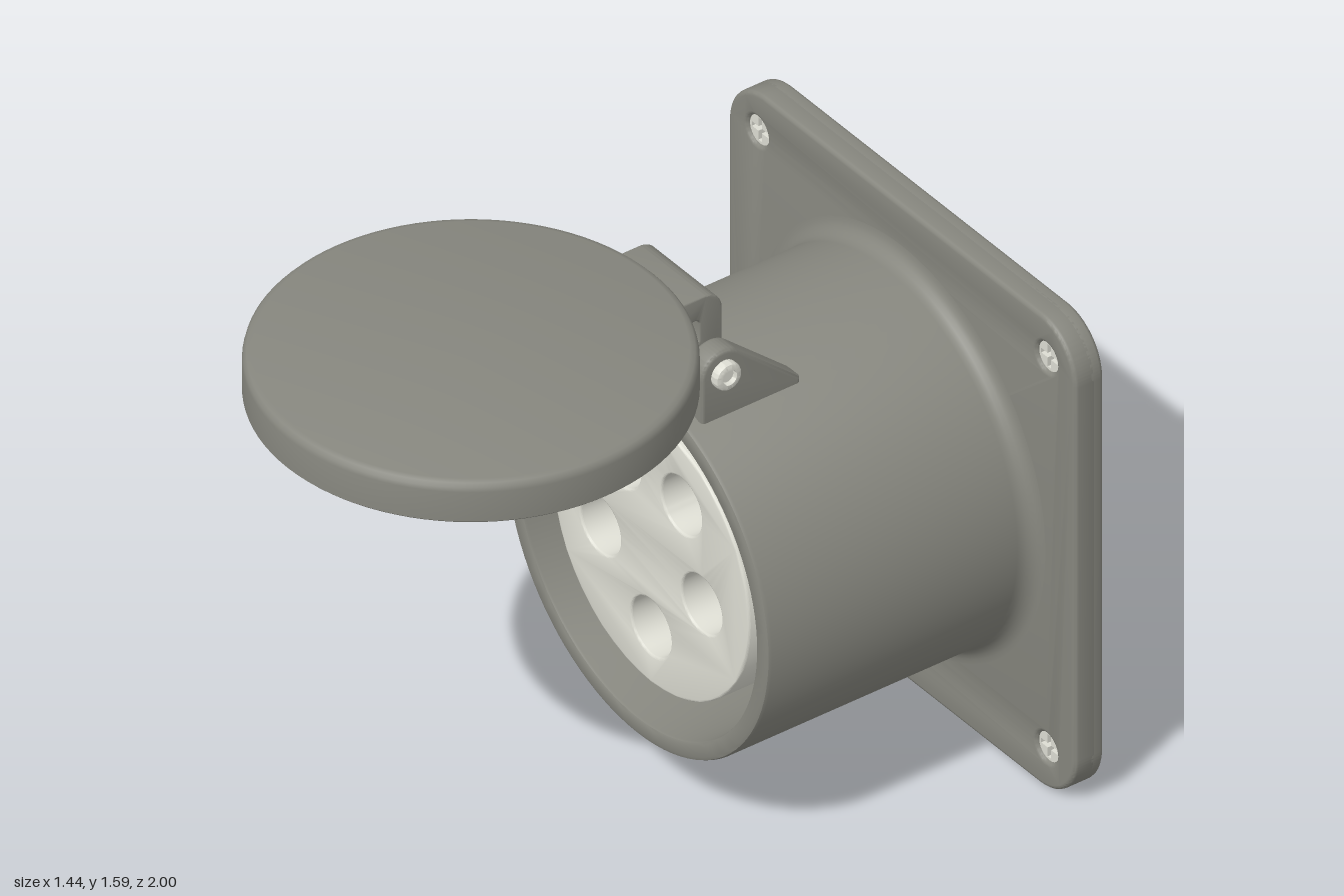
import * as THREE from 'three';
import { toCreasedNormals } from 'three/addons/utils/BufferGeometryUtils.js';

const grey = new THREE.MeshStandardMaterial({ color: 0x86867e });
const ivory = new THREE.MeshStandardMaterial({ color: 0xdcdcd2 });
const AXIS_Y = 0.725;              // height of the barrel axis
const PIVOT = { y: 1.36, z: -0.2 }; // hinge axis

function part(parent, name, geometry, material) {
  const mesh = new THREE.Mesh(toCreasedNormals(geometry, 0.6), material);
  mesh.name = name;
  parent.add(mesh);
  return mesh;
}

// Extrusion from z = 0 to z = depth whose rounded edges stay inside the outline
function slab(shape, depth, bevel = 0) {
  const g = new THREE.ExtrudeGeometry(shape, {
    depth: depth - 2 * bevel, curveSegments: 24, bevelEnabled: bevel > 0,
    bevelThickness: bevel, bevelSize: bevel, bevelOffset: -bevel, bevelSegments: 3,
  });
  return g.translate(0, 0, bevel);
}

// Side profile drawn as (-z, y), extruded along x from x0 to x1
function sideSlab(shape, x0, x1, bevel) {
  return slab(shape, x1 - x0, bevel).rotateY(Math.PI / 2).translate(x0, 0, 0);
}

const circle = (x, y, r, Type = THREE.Path) => new Type().absarc(x, y, r, 0, Math.PI * 2, false);
const lathe = (pts) => new THREE.LatheGeometry(pts.map(([r, h]) => new THREE.Vector2(r, h)), 96);

function roundedPlate(w, y0, y1, r) {
  const s = new THREE.Shape();
  s.absarc(w - r, y0 + r, r, -Math.PI / 2, 0);
  s.absarc(w - r, y1 - r, r, 0, Math.PI / 2);
  s.absarc(-w + r, y1 - r, r, Math.PI / 2, Math.PI);
  s.absarc(-w + r, y0 + r, r, Math.PI, Math.PI * 1.5);
  s.closePath();
  return s;
}

function crossPath(a, b) {
  return new THREE.Path([
    [a, b], [b, b], [b, a], [-b, a], [-b, b], [-a, b],
    [-a, -b], [-b, -b], [-b, -a], [b, -a], [b, -b], [a, -b],
  ].map(([x, y]) => new THREE.Vector2(x, y)));
}

function addPlate(model) {
  const screws = [[-0.6, 0.125], [0.6, 0.125], [-0.6, 1.325], [0.6, 1.325]];
  part(model, 'plateBack', slab(roundedPlate(0.72, 0, 1.445, 0.15), 0.05, 0.012), grey).position.z = -1;
  const front = roundedPlate(0.72, 0, 1.445, 0.15);
  screws.forEach(([x, y]) => front.holes.push(circle(x, y, 0.042)));
  part(model, 'plateFront', slab(front, 0.07, 0.012), grey).position.z = -0.98;

  // Cross-slotted screws sitting in the plate holes
  for (const [x, y] of screws) {
    const screw = new THREE.Group();
    screw.name = 'screw';
    screw.position.set(x, y, -0.95);
    const head = circle(0, 0, 0.042, THREE.Shape);
    head.holes.push(crossPath(0.034, 0.007));
    part(screw, 'screwHead', slab(head, 0.03), ivory);
    part(screw, 'slotFloor', slab(circle(0, 0, 0.04, THREE.Shape), 0.01), ivory);
    model.add(screw);
  }
}

function addBarrel(model) {
  // Outer wall with a fillet at the plate, rounded rim and inner wall
  const profile = [];
  for (let i = 0; i <= 6; i++) {
    const a = (i / 6) * Math.PI / 2;
    profile.push([0.597 - 0.05 * Math.sin(a), -0.86 - 0.05 * Math.cos(a)]);
  }
  profile.push([0.547, -0.097], [0.5435, -0.0885], [0.535, -0.085],
    [0.503, -0.085], [0.497, -0.088], [0.495, -0.094], [0.495, -0.68]);
  part(model, 'barrel', lathe(profile).rotateX(Math.PI / 2), grey).position.y = AXIS_Y;

  // Contact insert: floor disc and a plug with five sockets
  const floor = new THREE.CylinderGeometry(0.495, 0.495, 0.05, 96).rotateX(Math.PI / 2);
  part(model, 'insertFloor', floor, ivory).position.set(0, AXIS_Y, -0.675);
  const plug = circle(0, 0, 0.407, THREE.Shape);
  for (const [x, y] of [[-0.126, 0.21], [0.126, 0.21], [-0.21, -0.045], [0.21, -0.045], [0, -0.237]]) {
    plug.holes.push(circle(x, y, 0.083));
  }
  part(model, 'socketPlug', slab(plug, 0.53, 0.006), ivory).position.set(0, AXIS_Y, -0.66);
}

function addHinge(model) {
  // Pair of brackets with sloping backs
  const p = -PIVOT.z;
  const bracket = new THREE.Shape();
  bracket.moveTo(0.13, 1.2);
  bracket.lineTo(0.13, PIVOT.y);
  bracket.absarc(p, PIVOT.y, 0.07, Math.PI, 0.85, true);
  bracket.lineTo(0.44, 1.245);
  bracket.lineTo(0.44, 1.2);
  bracket.closePath();

  // Pin head with a small dimple, built along +x
  const pin = () => lathe([[0.04, 0.19], [0.04, 0.225], [0.037, 0.232], [0.031, 0.235],
    [0.022, 0.235], [0.02, 0.222], [0, 0.222]]).rotateZ(-Math.PI / 2);

  for (const side of [-1, 1]) {
    const x0 = side > 0 ? 0.143 : -0.21;
    part(model, 'hingeBracket', sideSlab(bracket, x0, x0 + 0.067, 0.012), grey);
    const head = pin();
    if (side < 0) head.rotateY(Math.PI);
    part(model, 'hingePin', head, ivory).position.set(0, PIVOT.y, PIVOT.z);
  }
  const rod = new THREE.CylinderGeometry(0.03, 0.03, 0.4, 32).rotateZ(Math.PI / 2);
  part(model, 'hingeRod', rod, ivory).position.set(0, PIVOT.y, PIVOT.z);
}

function addLid(model) {
  // Hollow cap held open horizontally
  part(model, 'lid', lathe([[0, 1.54], [0.535, 1.54], [0.535, 1.465], [0.565, 1.465], [0.57, 1.47],
    [0.57, 1.56], [0.567, 1.572], [0.559, 1.581], [0.545, 1.585], [0, 1.585]]), grey).position.z = 0.43;

  // Bent arm from the lid down to the hinge knuckle
  const arm = new THREE.Shape();
  arm.moveTo(0.11, 1.49);
  arm.lineTo(0.165, 1.49);
  arm.quadraticCurveTo(0.18, 1.49, 0.18, 1.475);
  arm.lineTo(0.18, 1.425);
  arm.lineTo(0.14, 1.36);
  arm.absarc(0.195, 1.345, 0.055, Math.PI, Math.PI * 2, false);
  arm.lineTo(0.25, 1.5);
  arm.absarc(0.195, 1.5, 0.055, 0, Math.PI / 2, false);
  arm.lineTo(0.11, 1.555);
  arm.closePath();
  part(model, 'lidArm', sideSlab(arm, -0.136, 0.136, 0.004), grey);
}

export function createModel() {
  const model = new THREE.Group();
  model.name = 'wallSocket';
  addPlate(model);
  addBarrel(model);
  addHinge(model);
  addLid(model);
  return model;
}
